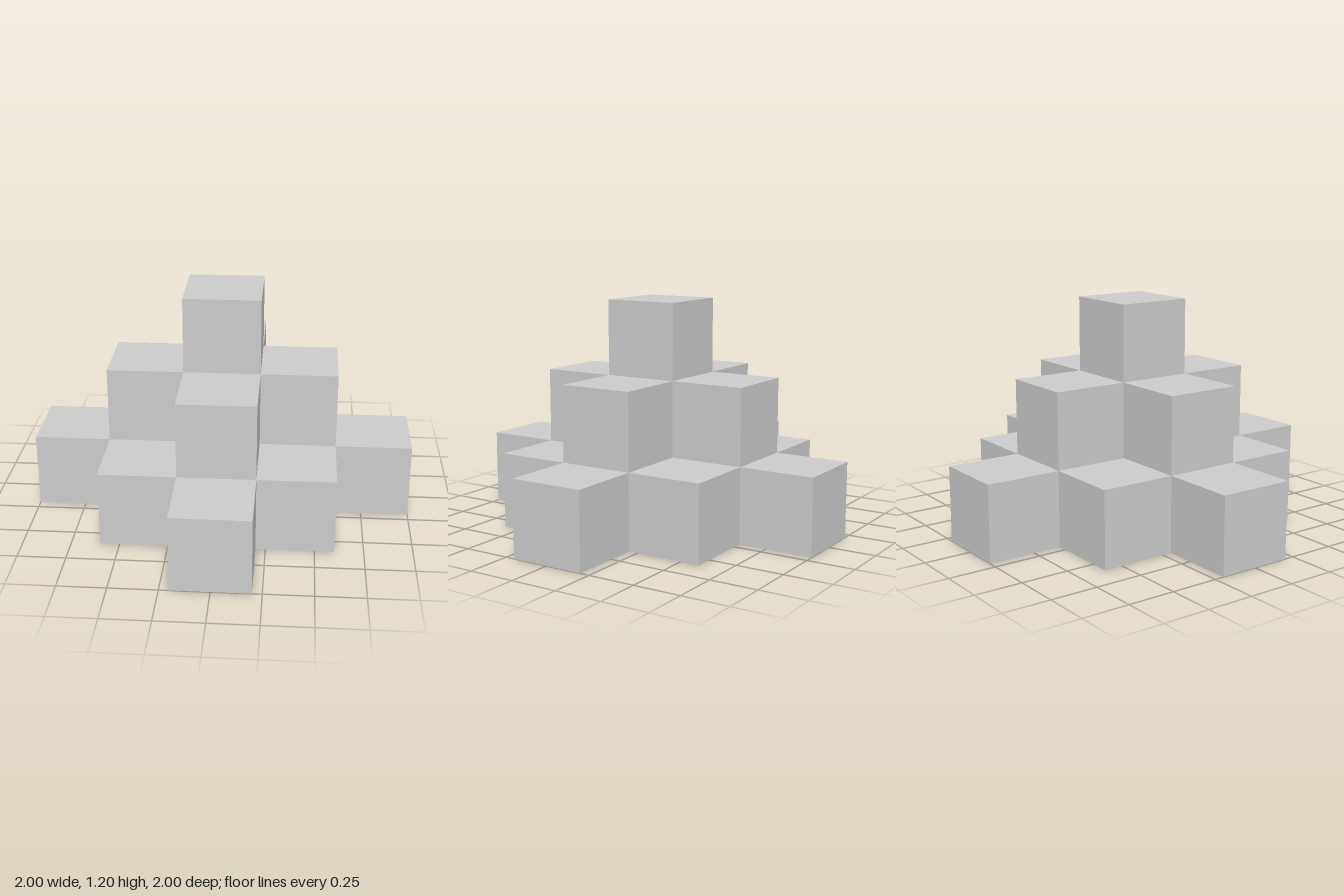
import * as THREE from 'three';

const CELL = 0.4; // edge of one cube step

// Stepped diamond outline reaching `reach` cells out from the centre cell
function steppedDiamond(reach) {
  const points = [];
  for (let quarter = 0; quarter < 4; quarter++) {
    for (let j = 0; j <= reach; j++) {
      const x = reach - j + 0.5;
      const corners = [[x, j - 0.5]];
      if (j < reach) corners.push([x, j + 0.5]);
      for (let [a, b] of corners) {
        for (let q = 0; q < quarter; q++) [a, b] = [-b, a];
        points.push(new THREE.Vector2(a * CELL, b * CELL));
      }
    }
  }
  return new THREE.Shape(points);
}

export function createModel() {
  const model = new THREE.Group();
  model.name = 'steppedPyramid';
  const material = new THREE.MeshStandardMaterial({ color: 0xcccccc, flatShading: true });

  // Three tiers, each one cell smaller in reach than the tier below
  ['bottomTier', 'middleTier', 'topCube'].forEach((name, level) => {
    const geometry = new THREE.ExtrudeGeometry(steppedDiamond(2 - level), {
      depth: CELL,
      bevelEnabled: false,
    });
    geometry.rotateX(-Math.PI / 2);
    const tier = new THREE.Mesh(geometry, material);
    tier.name = name;
    tier.position.y = level * CELL;
    model.add(tier);
  });

  return model;
}
